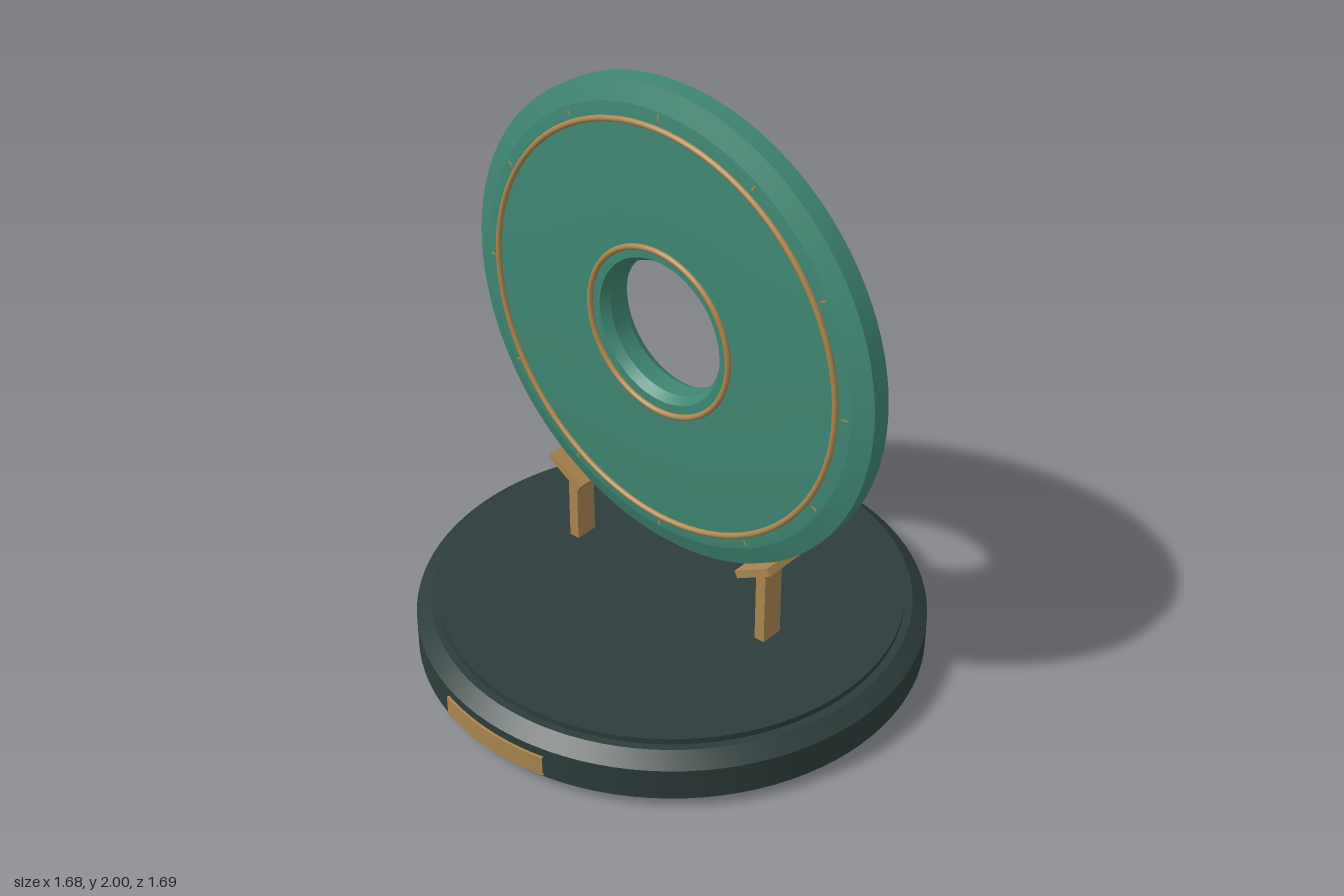
import * as THREE from 'three';
import { toCreasedNormals } from 'three/addons/utils/BufferGeometryUtils.js';

const paint = (color) => new THREE.MeshStandardMaterial({ color });
const jade = paint(0x3f8672);
const dark = paint(0x2d3d3b);
const bronze = paint(0xaa854f);

// Turned part: profile of [radius, height], kept sharp at its corners
function turned(profile, segments = 96, start = 0, length = Math.PI * 2) {
  const points = profile.map(([r, y]) => new THREE.Vector2(r, y));
  return toCreasedNormals(new THREE.LatheGeometry(points, segments, start, length), 0.2);
}

function add(parent, name, geometry, material, x = 0, y = 0, z = 0) {
  const mesh = new THREE.Mesh(geometry, material);
  mesh.name = name;
  mesh.position.set(x, y, z);
  parent.add(mesh);
  return mesh;
}

export function createModel() {
  const model = new THREE.Group();
  model.name = 'discOnStand';

  // Round plinth with chamfered edges and a raised top
  add(model, 'base', turned([
    [0, 0], [0.74, 0], [0.84, 0.04], [0.84, 0.15], [0.79, 0.19], [0, 0.19],
  ]), dark);
  add(model, 'baseTop', turned([[0.765, 0.188], [0.765, 0.21], [0, 0.21]]), dark);

  // Curved blank plaque on the front of the plinth
  const plaqueMaterial = bronze.clone();
  plaqueMaterial.side = THREE.DoubleSide;
  add(model, 'plaque', turned([
    [0.832, 0.05], [0.848, 0.05], [0.848, 0.12], [0.832, 0.12],
  ], 20, -0.25, 0.5), plaqueMaterial);

  // Upright disc with a bevelled rim and a chamfered hole
  const disc = new THREE.Group();
  disc.name = 'disc';
  disc.position.y = 1.2;
  model.add(disc);
  const body = add(disc, 'discBody', turned([
    [0.225, -0.032], [0.245, -0.062], [0.69, -0.062], [0.735, -0.056], [0.8, -0.032],
    [0.8, 0.032], [0.735, 0.056], [0.69, 0.062], [0.245, 0.062], [0.225, 0.032], [0.225, -0.032],
  ]), jade);
  body.rotation.x = Math.PI / 2;

  // Thin inlaid rings on both faces
  for (const side of [1, -1]) {
    for (const [name, radius] of [['outerRing', 0.685], ['innerRing', 0.282]]) {
      add(disc, name, new THREE.TorusGeometry(radius, 0.01, 8, 96), bronze, 0, 0, side * 0.066);
    }
  }

  // Twelve small marks around the front face
  for (let i = 0; i < 12; i++) {
    const a = (i / 12) * Math.PI * 2;
    const mark = add(disc, 'mark', new THREE.BoxGeometry(0.02, 0.006, 0.008), bronze,
      0.715 * Math.cos(a), 0.715 * Math.sin(a), 0.057);
    mark.rotation.z = a;
  }

  // Mirrored posts with tilted pads that cradle the rim
  for (const side of [1, -1]) {
    const support = new THREE.Group();
    support.name = side > 0 ? 'leftSupport' : 'rightSupport';
    model.add(support);
    add(support, 'post', new THREE.BoxGeometry(0.038, 0.29, 0.08), bronze, side * 0.408, 0.345, 0);
    const pad = add(support, 'pad', new THREE.BoxGeometry(0.15, 0.026, 0.16), bronze, side * 0.405, 0.498, 0);
    pad.rotation.z = side * Math.PI / 6;
  }

  // Balance the plaque's depth about the centre
  for (const part of model.children) part.position.z -= 0.004;
  return model;
}
